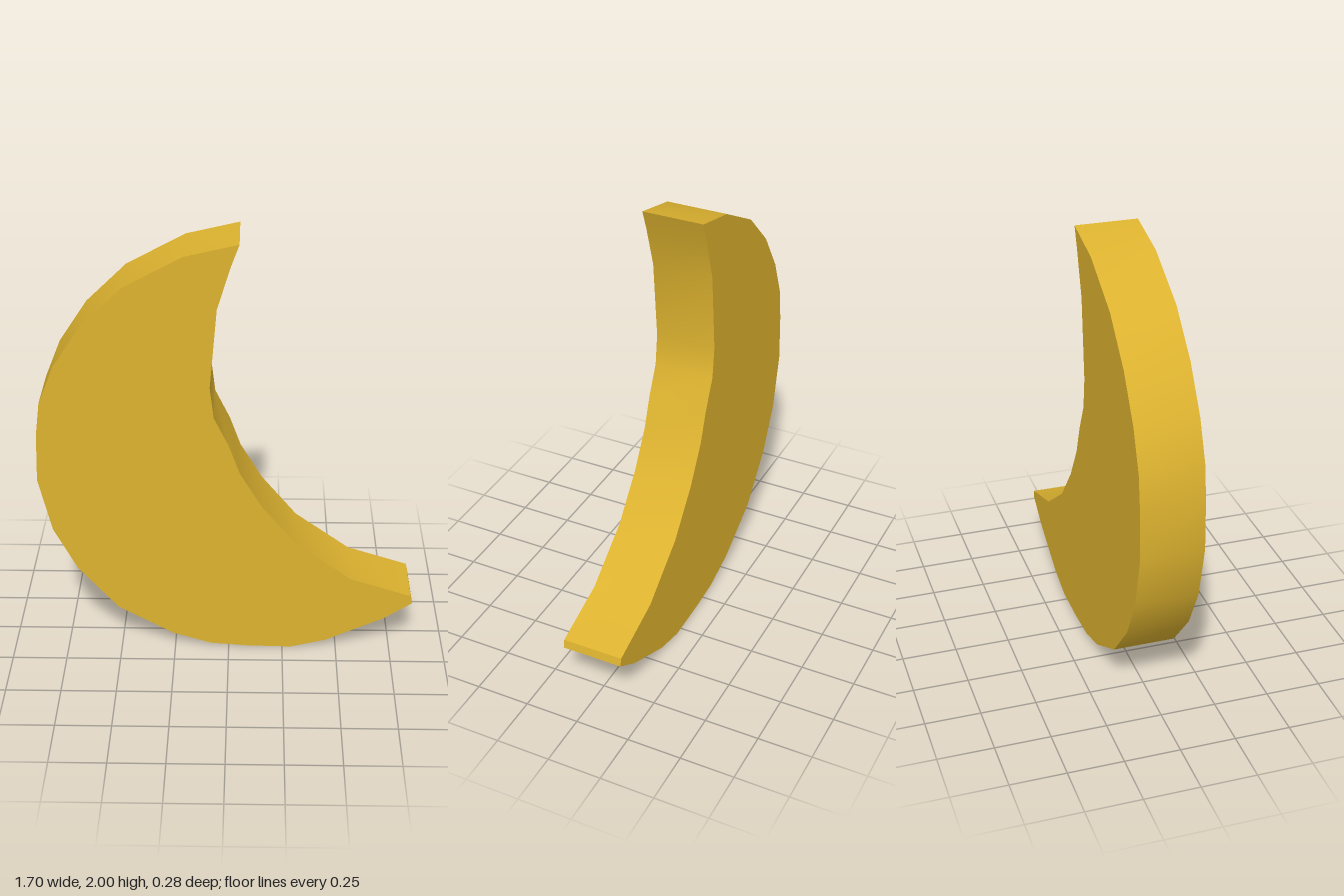
import * as THREE from 'three';
import { toCreasedNormals } from 'three/addons/utils/BufferGeometryUtils.js';

export function createModel() {
  const group = new THREE.Group();
  group.name = 'crescentMoon';
  const gold = new THREE.MeshStandardMaterial({ color: 0xdcb22f });
  gold.name = 'gold';

  // Outer curve, from the upper tip round the left to the lower tip
  const outer = [
    [0.045, 2], [-0.19, 1.945], [-0.45, 1.805], [-0.63, 1.63], [-0.755, 1.44],
    [-0.825, 1.265], [-0.845, 1.11], [-0.853, 0.885], [-0.795, 0.63], [-0.69, 0.425],
    [-0.51, 0.215], [-0.255, 0.07], [-0.08, 0.017], [0.09, 0.004], [0.29, 0],
    [0.45, 0.04], [0.72, 0.165], [0.848, 0.25],
  ];
  // Inner curve, from the lower tip back to the upper tip
  const inner = [
    [0.84, 0.288], [0.56, 0.378], [0.31, 0.56], [0.15, 0.755], [0.05, 0.925],
    [0, 1.065], [-0.065, 1.2], [-0.082, 1.345], [-0.05, 1.71], [0.01, 1.905],
  ];

  const depth = 0.28;
  const shape = new THREE.Shape([...outer, ...inner].map(([x, y]) => new THREE.Vector2(x, y)));
  const solid = new THREE.ExtrudeGeometry(shape, { depth, bevelEnabled: false });
  solid.translate(0, 0, -depth / 2);

  // Smooth rim, sharp edges at the faces and tips
  const crescent = new THREE.Mesh(toCreasedNormals(solid, 0.7), gold);
  crescent.name = 'crescent';
  group.add(crescent);
  return group;
}
